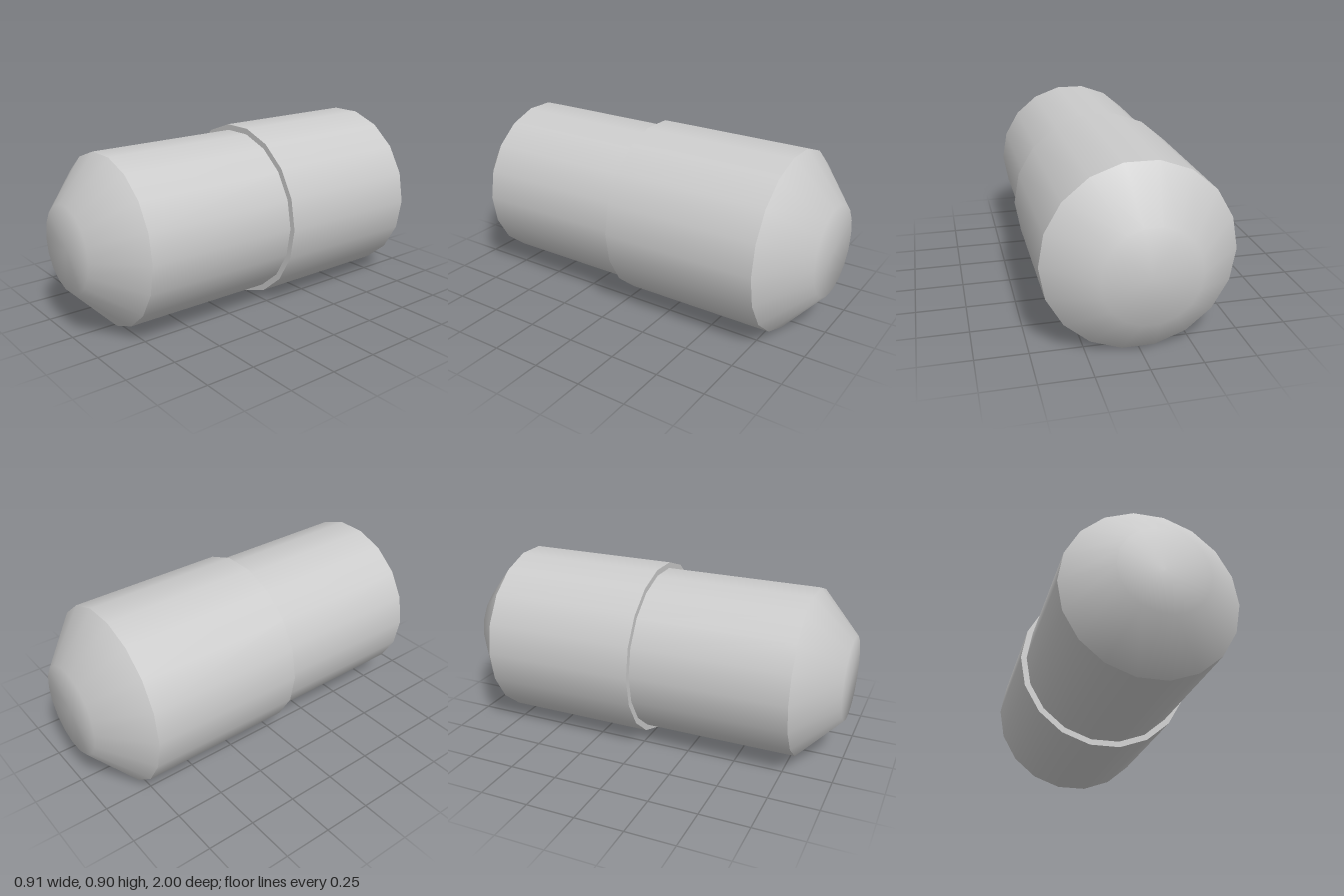
import * as THREE from 'three';

const SIDES = 18;
const CENTER_Y = 0.449;
const FRONT_R = 0.425;
const BACK_R = 0.455;

// Revolves [radius, z] pairs (rising z) around the long axis, smooth within one part.
function revolve(name, profile, material) {
  const points = profile.map(([r, z]) => new THREE.Vector2(r, z));
  const geometry = new THREE.LatheGeometry(points, SIDES, Math.PI / 2);
  geometry.rotateX(Math.PI / 2);
  const mesh = new THREE.Mesh(geometry, material);
  mesh.name = name;
  return mesh;
}

export function createModel() {
  const material = new THREE.MeshStandardMaterial({ color: 0xcccccc });

  // Narrower front half with its bevelled dome
  const frontHalf = new THREE.Group();
  frontHalf.name = 'frontHalf';
  frontHalf.add(
    revolve('frontBody', [[FRONT_R, 0], [FRONT_R, 0.8]], material),
    revolve('frontDome', [[FRONT_R, 0.8], [0.213, 1], [0, 1]], material)
  );

  // Wider back half, which sleeves over the front half at a small rim
  const backHalf = new THREE.Group();
  backHalf.name = 'backHalf';
  backHalf.add(
    revolve('backDome', [[0, -1], [0.228, -1], [BACK_R, -0.8]], material),
    revolve('backBody', [[BACK_R, -0.8], [BACK_R, 0]], material),
    revolve('sleeveRim', [[BACK_R, 0], [FRONT_R, 0]], material)
  );

  const capsule = new THREE.Group();
  capsule.name = 'capsule';
  capsule.add(frontHalf, backHalf);
  capsule.position.y = CENTER_Y;

  const model = new THREE.Group();
  model.add(capsule);
  return model;
}
